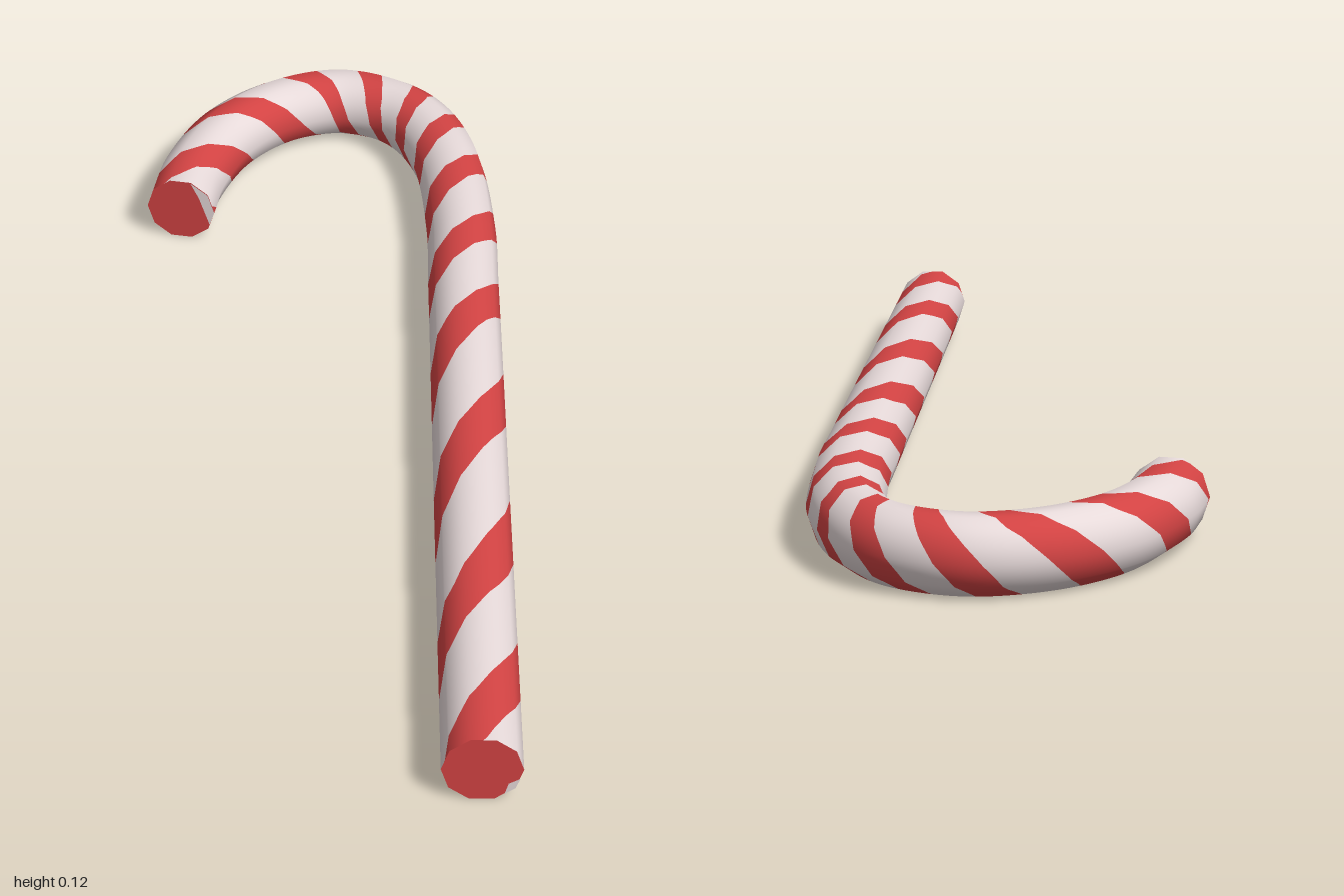
import * as THREE from 'three';

const RADIUS = 0.0655, SIDES = 10, STEP = (2 * Math.PI) / SIDES;
const CENTRE_Y = RADIUS * Math.cos(STEP / 2);

// Centre line (x, z): straight stem, then the hook
const path = new THREE.CatmullRomCurve3([
  [0.265, 1], [0.265, 0.3], [0.265, -0.3], [0.264, -0.5], [0.24, -0.72], [0.19, -0.845],
  [0.13, -0.905], [0.03, -0.937], [-0.085, -0.9], [-0.185, -0.805], [-0.25, -0.66], [-0.27, -0.553],
].map(([x, z]) => new THREE.Vector3(x, CENTRE_Y, z)));
path.arcLengthDivisions = 800;
const LENGTH = path.getLength();

// Distance along the cane where each stripe crosses its top; the first entry is stripe -2
const crossings = [-0.65, -0.3, 0.07, 0.39, 0.78, 1.13, 1.38, 1.6, 1.76, 1.87, 1.98, 2.1, 2.285, 2.5, 2.72, 2.95];
function distanceAt(stripe) {
  const f = THREE.MathUtils.clamp(stripe + 2, 0, crossings.length - 1.001);
  const i = Math.floor(f);
  const s = THREE.MathUtils.lerp(crossings[i], crossings[i + 1], f - i);
  return THREE.MathUtils.clamp(s, 0, LENGTH);
}

// Point and normal on the ten-sided tube; angle 0 is the top, growing towards the outside
function surface(angle, s) {
  const u = s / LENGTH, p = path.getPointAt(u), t = path.getTangentAt(u);
  const side = new THREE.Vector3(-t.z, 0, t.x);
  const local = (((angle + STEP / 2) % STEP) + STEP) % STEP - STEP / 2;
  const r = CENTRE_Y / Math.cos(local);
  const normal = side.multiplyScalar(Math.sin(angle));
  normal.y = Math.cos(angle);
  return { point: p.addScaledVector(normal, r), normal };
}

// Spiral ribbons between two offsets from each stripe's centre
function spiral(from, to) {
  const pos = [], nor = [], index = [];
  const NA = SIDES * 6, NV = 8;
  for (let k = -4; k <= 13; k++) {
    const base = pos.length / 3;
    for (let i = 0; i <= NA; i++) {
      const a = (i / NA) * 2 * Math.PI;
      for (let j = 0; j <= NV; j++) {
        const v = THREE.MathUtils.lerp(from(a), to(a), j / NV);
        const { point, normal } = surface(a, distanceAt(k + a / Math.PI + v));
        pos.push(point.x, point.y, point.z);
        nor.push(normal.x, normal.y, normal.z);
      }
    }
    for (let i = 0; i < NA; i++) for (let j = 0; j < NV; j++) {
      const q = base + i * (NV + 1) + j, n = q + NV + 1;
      index.push(q, n, n + 1, q, n + 1, q + 1);
    }
  }
  const g = new THREE.BufferGeometry();
  g.setAttribute('position', new THREE.Float32BufferAttribute(pos, 3));
  g.setAttribute('normal', new THREE.Float32BufferAttribute(nor, 3));
  g.setIndex(index);
  return g;
}

export function createModel() {
  const red = new THREE.MeshStandardMaterial({ color: 0xd24343 });
  red.name = 'candy red';
  const white = new THREE.MeshStandardMaterial({ color: 0xe6d9d9 });
  white.name = 'sugar white';

  const group = new THREE.Group();
  group.name = 'candyCane';
  const add = (name, geometry, material, parent = group) => {
    const mesh = new THREE.Mesh(geometry, material);
    mesh.name = name;
    parent.add(mesh);
    return mesh;
  };

  // Twisted body, stripes slightly wider underneath
  const half = (a) => 0.2 + 0.02 * (1 - Math.cos(a));
  add('redStripes', spiral((a) => -half(a), half), red);
  add('whiteStripes', spiral(half, (a) => 1 - half(a)), white);

  // Flat red ends, each with a small white patch at the rim
  const cap = (name, u, outward, patch) => {
    const end = new THREE.Group();
    end.name = name;
    end.position.copy(path.getPointAt(u));
    const t = path.getTangentAt(u).multiplyScalar(outward);
    end.rotation.y = Math.atan2(t.x, t.z);
    group.add(end);
    add(name + 'Face', new THREE.CircleGeometry(RADIUS, SIDES), red, end);
    const shape = new THREE.Shape(patch.map(([x, y]) => new THREE.Vector2(x, y)));
    add(name + 'Patch', new THREE.ShapeGeometry(shape), white, end).position.z = 0.002;
  };
  cap('stemEnd', 0, -1, [[0.036, -0.05], [0.053, -0.038], [0.06, -0.018], [0.042, -0.028]]);
  cap('hookEnd', 1, 1, [[0.02, 0.062], [0.036, 0.03], [0.056, -0.028], [0.0655, 0], [0.053, 0.0385]]);

  return group;
}
